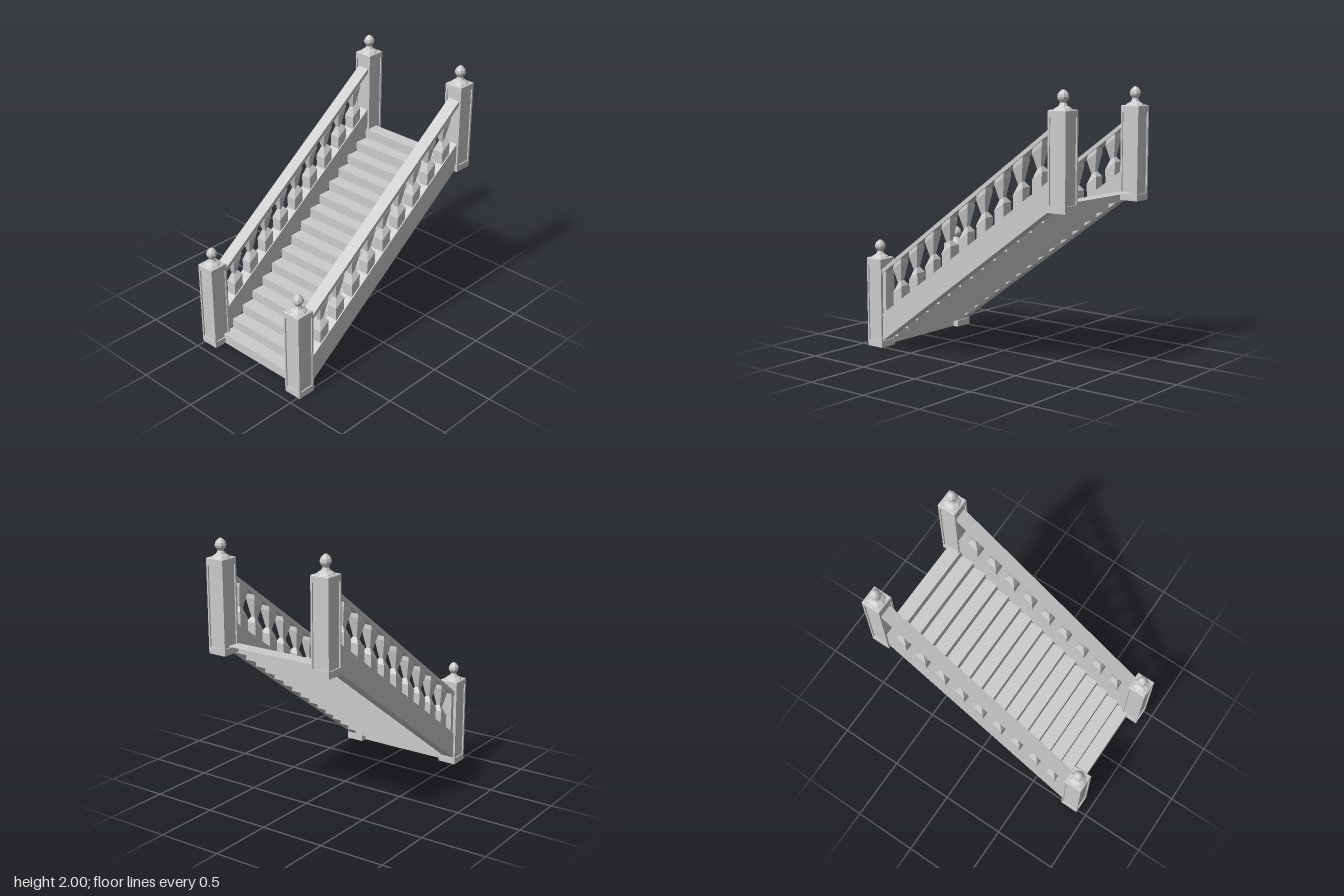
import * as THREE from 'three';

const SLOPE = 0.7215;
const mat = new THREE.MeshStandardMaterial({ color: 0xcccccc, flatShading: true, side: THREE.DoubleSide });

function add(parent, name, geo, x = 0, y = 0, z = 0) {
  const m = new THREE.Mesh(geo, mat);
  m.name = name;
  m.position.set(x, y, z);
  parent.add(m);
  return m;
}

// Height gained by the flight at depth z, measured from its foot
const rise = z => (0.785 - z) * SLOPE;

// Bar following the pitch of the stairs: a box sheared upwards towards the back
function pitchedBar(width, z0, z1, low, high) {
  const g = new THREE.BoxGeometry(width, high - low, z0 - z1);
  g.translate(0, (low + high) / 2, (z0 + z1) / 2);
  const p = g.attributes.position;
  for (let i = 0; i < p.count; i++) p.setY(i, p.getY(i) + rise(p.getZ(i)));
  g.computeVertexNormals();
  return g;
}

// Square hourglass baluster whose rings are sheared to the pitch
function balusterGeometry() {
  const profile = [[0.04, -0.01], [0.042, 0.1], [0.016, 0.155], [0.042, 0.28], [0.037, 0.33]];
  const g = new THREE.LatheGeometry(
    profile.map(([r, y]) => new THREE.Vector2(r * Math.SQRT2, y)), 4, Math.PI / 4);
  const p = g.attributes.position;
  for (let i = 0; i < p.count; i++) p.setY(i, p.getY(i) - p.getZ(i) * SLOPE);
  g.computeVertexNormals();
  return g;
}

// Newel post with recessed panels on all sides and a turned finial
function newelPost(name) {
  const g = new THREE.Group();
  g.name = name;
  const W = 0.146, H = 0.69, edge = 0.014, recess = 0.01;
  add(g, 'postCore', new THREE.BoxGeometry(W - 2 * recess, H - 0.08, W - 2 * recess), 0, H / 2, 0);
  add(g, 'postBase', new THREE.BoxGeometry(W, 0.05, W), 0, 0.025, 0);
  add(g, 'postHead', new THREE.BoxGeometry(W, 0.044, W), 0, 0.662, 0);
  const bevel = new THREE.CylinderGeometry((W / 2 - 0.006) * Math.SQRT2, W / 2 * Math.SQRT2, 0.006, 4);
  bevel.rotateY(Math.PI / 4);
  add(g, 'postBevel', bevel, 0, 0.687, 0);
  for (const sx of [-1, 1]) for (const sz of [-1, 1]) {
    const o = (W - edge) / 2;
    add(g, 'cornerStile', new THREE.BoxGeometry(edge, 0.59, edge), sx * o, 0.345, sz * o);
  }
  const finial = [[0.066, 0], [0.058, 0.01], [0.032, 0.026], [0.022, 0.045], [0.024, 0.053],
    [0.036, 0.068], [0.041, 0.084], [0.037, 0.104], [0.024, 0.122], [0.008, 0.133], [0, 0.135]];
  add(g, 'finial', new THREE.LatheGeometry(finial.map(p => new THREE.Vector2(...p)), 8), 0, H, 0);
  return g;
}

// Zigzag sheet of risers and treads
function stepsGeometry() {
  const n = 16, h = 1.237 / n, d = 1.71 / n, pos = [], idx = [];
  const quad = (a, b) => {
    const k = pos.length / 3;
    for (const [y, z] of [a, b]) pos.push(-0.402, y, z, 0.402, y, z);
    idx.push(k, k + 1, k + 3, k, k + 3, k + 2);
  };
  for (let i = 0; i < n; i++) {
    const z = 0.83 - i * d, y = i * h;
    quad([y, z], [y + h, z]);
    quad([y + h, z], [y + h, z - d]);
  }
  const g = new THREE.BufferGeometry();
  g.setAttribute('position', new THREE.Float32BufferAttribute(pos, 3));
  g.setIndex(idx);
  return g.toNonIndexed();
}

export function createModel() {
  const root = new THREE.Group();
  root.name = 'staircase';

  const steps = stepsGeometry();
  steps.computeVertexNormals();
  add(root, 'steps', steps);

  const baluster = balusterGeometry();
  for (const s of [-1, 1]) {
    const side = new THREE.Group();
    side.name = s > 0 ? 'leftBalustrade' : 'rightBalustrade';
    const x = s * 0.449;
    add(side, 'stringer', pitchedBar(0.098, 0.79, -0.79, 0.055, 0.264), x);
    add(side, 'handrail', pitchedBar(0.098, 0.79, -0.79, 0.577, 0.612), x);
    add(side, 'endBaluster', pitchedBar(0.08, 0.79, 0.758, 0.26, 0.58), x);
    for (let i = 0; i < 9; i++) {
      const z = 0.638 - i * 0.1635;
      add(side, 'baluster', baluster, x, 0.264 + rise(z), z);
    }
    // Lower and upper newels
    const front = newelPost('frontPost'), back = newelPost('backPost');
    front.position.set(s * 0.447, 0, 0.853);
    back.position.set(s * 0.447, 1.175, -0.853);
    side.add(front, back);
    root.add(side);
  }
  return root;
}
